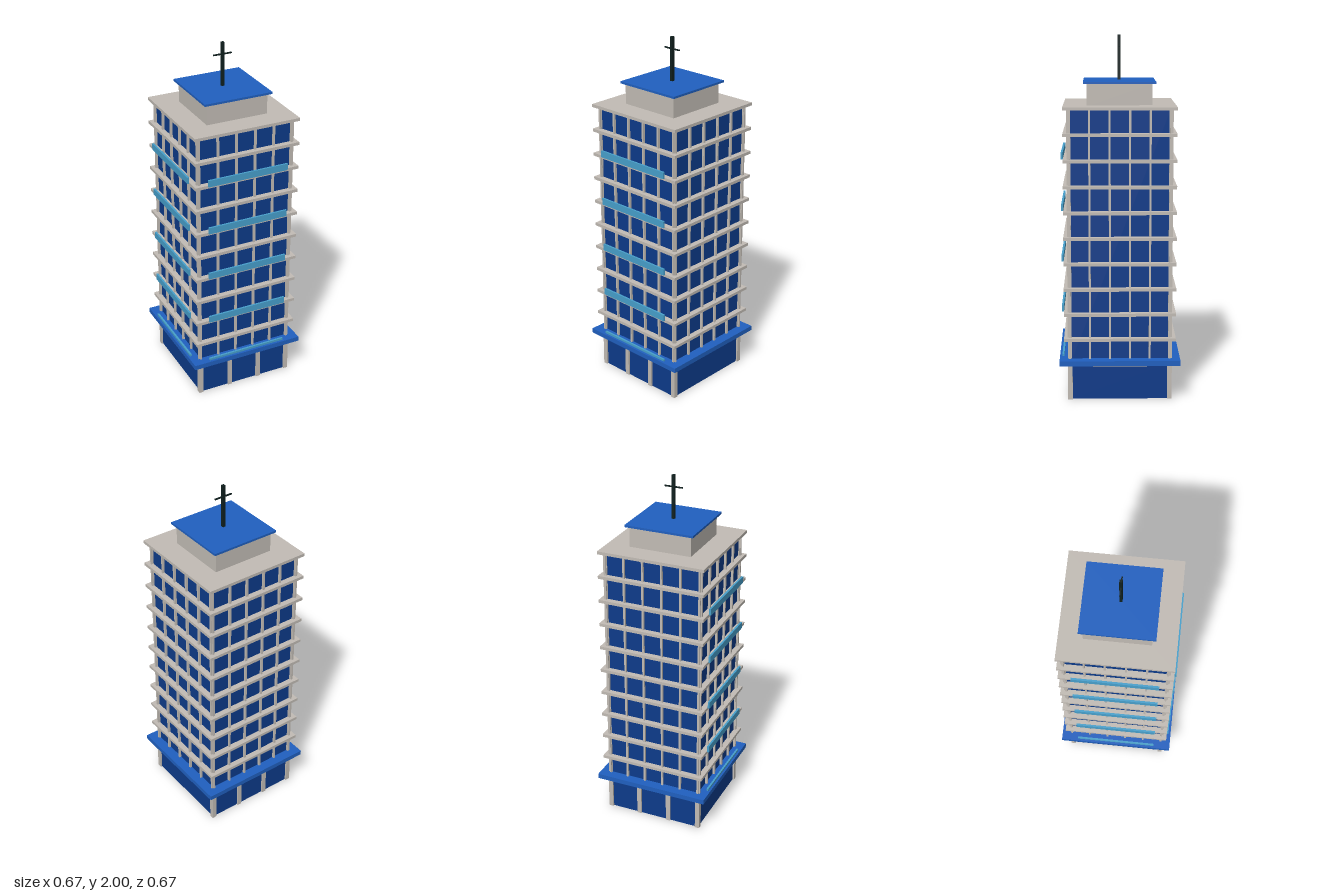
import * as THREE from 'three';

const material = (name, color) => {
  const m = new THREE.MeshStandardMaterial({ color });
  m.name = name;
  return m;
};

export function createModel() {
  const glass = material('dark blue glass', 0x0d3b8a);
  const blue = material('bright blue trim', 0x2060c0);
  const stone = material('warm grey stone', 0xc2bcb5);
  const teal = material('light blue balcony', 0x47a0cc);
  const metal = material('dark metal', 0x10201f);

  const tower = new THREE.Group();
  tower.name = 'officeTower';

  // Box given its size, bottom height and horizontal centre
  const box = (name, mat, w, h, d, bottom, x = 0, z = 0, parent = tower) => {
    const mesh = new THREE.Mesh(new THREE.BoxGeometry(w, h, d), mat);
    mesh.name = name;
    mesh.position.set(x, bottom + h / 2, z);
    parent.add(mesh);
    return mesh;
  };
  const group = (name) => {
    const g = new THREE.Group();
    g.name = name;
    tower.add(g);
    return g;
  };

  const floors = 10, floorHeight = 0.1414, firstFloor = 0.204;

  // Ground floor with four pillars along the front and back
  box('groundFloor', glass, 0.556, 0.204, 0.556, 0);
  const pillars = group('groundPillars');
  for (const z of [-0.275, 0.275])
    for (let i = 0; i < 4; i++)
      box('pillar', stone, 0.026, 0.2, 0.026, 0, -0.275 + i * 0.55 / 3, z, pillars);
  box('canopy', blue, 0.666, 0.028, 0.666, 0.205);

  // Glass shaft
  box('glassShaft', glass, 0.55, floors * floorHeight, 0.55, firstFloor);

  // Floor slabs, the last one being the roof
  const slabs = group('floorSlabs');
  for (let i = 0; i <= floors; i++)
    box('slab', stone, 0.616, 0.017, 0.616, firstFloor + i * floorHeight - 0.0085, 0, 0, slabs);

  // Six vertical fins on each side of the shaft
  const fins = group('facadeFins');
  for (let side = 0; side < 4; side++) {
    const face = new THREE.Group();
    face.name = 'finRow';
    face.rotation.y = side * Math.PI / 2;
    fins.add(face);
    for (let i = 0; i < 6; i++)
      box('fin', stone, 0.011, floors * floorHeight, 0.022, firstFloor, -0.275 + i * 0.11, 0.277, face);
  }

  // Balcony rails on every second floor, front and right sides
  const rails = group('balconyRails');
  for (let i = 0; i < floors; i += 2) {
    const y = firstFloor + i * floorHeight + 0.004;
    box('frontRail', teal, 0.47, 0.038, 0.011, y, 0, 0.314, rails);
    box('sideRail', teal, 0.011, 0.038, 0.47, y, -0.3155, 0, rails);
  }

  // Rooftop plant room and mast
  box('penthouse', stone, 0.356, 0.125, 0.356, 1.62);
  box('penthouseRoof', blue, 0.396, 0.012, 0.396, 1.742);
  box('mast', metal, 0.016, 0.248, 0.016, 1.752);
  box('mastCrossbar', metal, 0.106, 0.007, 0.007, 1.929);

  return tower;
}
